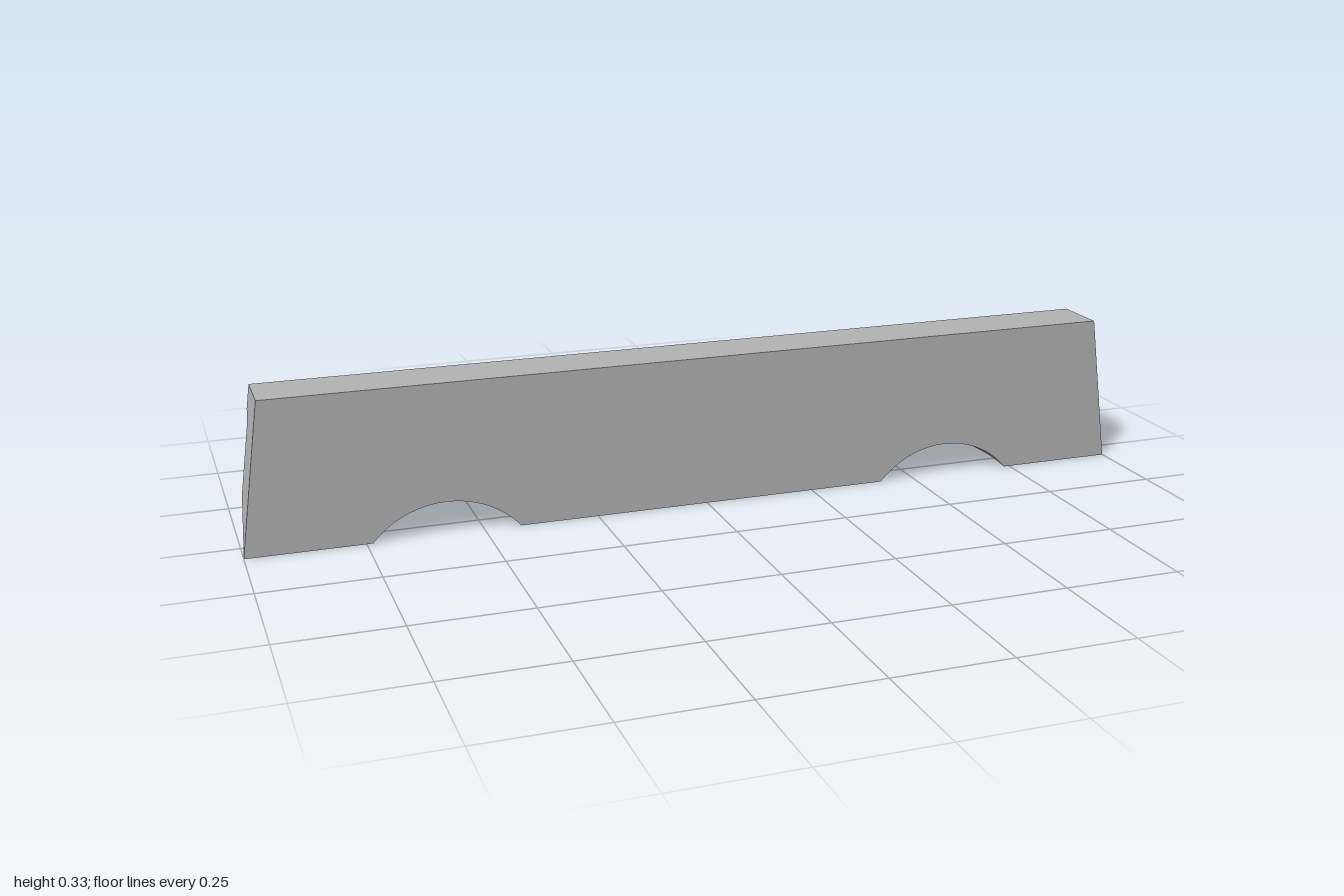
import * as THREE from 'three';
import { toCreasedNormals } from 'three/addons/utils/BufferGeometryUtils.js';

const HEIGHT = 0.332, FRONT = 0.062, TAPER = 0.047;
const ARCH_X = 0.579, ARCH_HALF = 0.158, ARCH_RISE = 0.073, ARCH_SLOPE = 0.14, ARCH_STEPS = 24;
const RADIUS = (ARCH_HALF ** 2 + ARCH_RISE ** 2) / (2 * ARCH_RISE);

// Height of the lower edge at x: zero except inside the two arches
function archHeight(x) {
  const d = Math.abs(x) - ARCH_X;
  if (Math.abs(d) >= ARCH_HALF - 1e-6) return 0;
  return Math.sqrt(RADIUS ** 2 - d * d) - (RADIUS - ARCH_RISE);
}

// Cross-section at x, from front bottom over the top lip to the bevelled underside
function section(x) {
  const h = archHeight(x);
  const depth = h / (1 + ARCH_SLOPE); // where the arch roof meets the 45 degree bevel
  const profile = [
    [FRONT, h], [FRONT, HEIGHT], [-0.062, HEIGHT], [-0.062, 0.28],
    [-0.04, 0.26], [-0.04, 0.102], [FRONT - depth, depth],
  ];
  // The two ends lean inwards towards the top
  const lean = Math.abs(x) === 1 ? Math.sign(x) * TAPER / HEIGHT : 0;
  return profile.map(([z, y]) => new THREE.Vector3(x - lean * y, y, z));
}

function skirtGeometry() {
  const stations = [-1];
  for (const side of [-1, 1]) {
    for (let i = 0; i <= ARCH_STEPS; i++) {
      stations.push(side * ARCH_X - ARCH_HALF * Math.cos(Math.PI * i / ARCH_STEPS));
    }
  }
  stations.push(1);
  const rings = stations.map(section);
  const points = [];
  const triangle = (a, b, c) => {
    if (new THREE.Triangle(a, b, c).getArea() > 1e-9) points.push(a, b, c);
  };

  // Long faces, arch roofs included
  for (let i = 0; i < rings.length - 1; i++) {
    const a = rings[i], b = rings[i + 1], n = a.length;
    for (let j = 0; j < n; j++) {
      const k = (j + 1) % n;
      triangle(a[j], b[j], b[k]);
      triangle(a[j], b[k], a[k]);
    }
  }

  // End caps, fanned from the top front corner
  const first = rings[0], last = rings[rings.length - 1];
  for (let j = 2; j < 6; j++) {
    triangle(first[1], first[j], first[j + 1]);
    triangle(last[1], last[j + 1], last[j]);
  }

  const geometry = new THREE.BufferGeometry().setFromPoints(points);
  return toCreasedNormals(geometry, 0.4);
}

export function createModel() {
  const grey = new THREE.MeshStandardMaterial({ color: 0xb4b4b4 });
  grey.name = 'plain grey';

  const panel = new THREE.Mesh(skirtGeometry(), grey);
  panel.name = 'archedPanel';

  const model = new THREE.Group();
  model.name = 'bevelledPanelWithArches';
  model.add(panel);
  return model;
}
